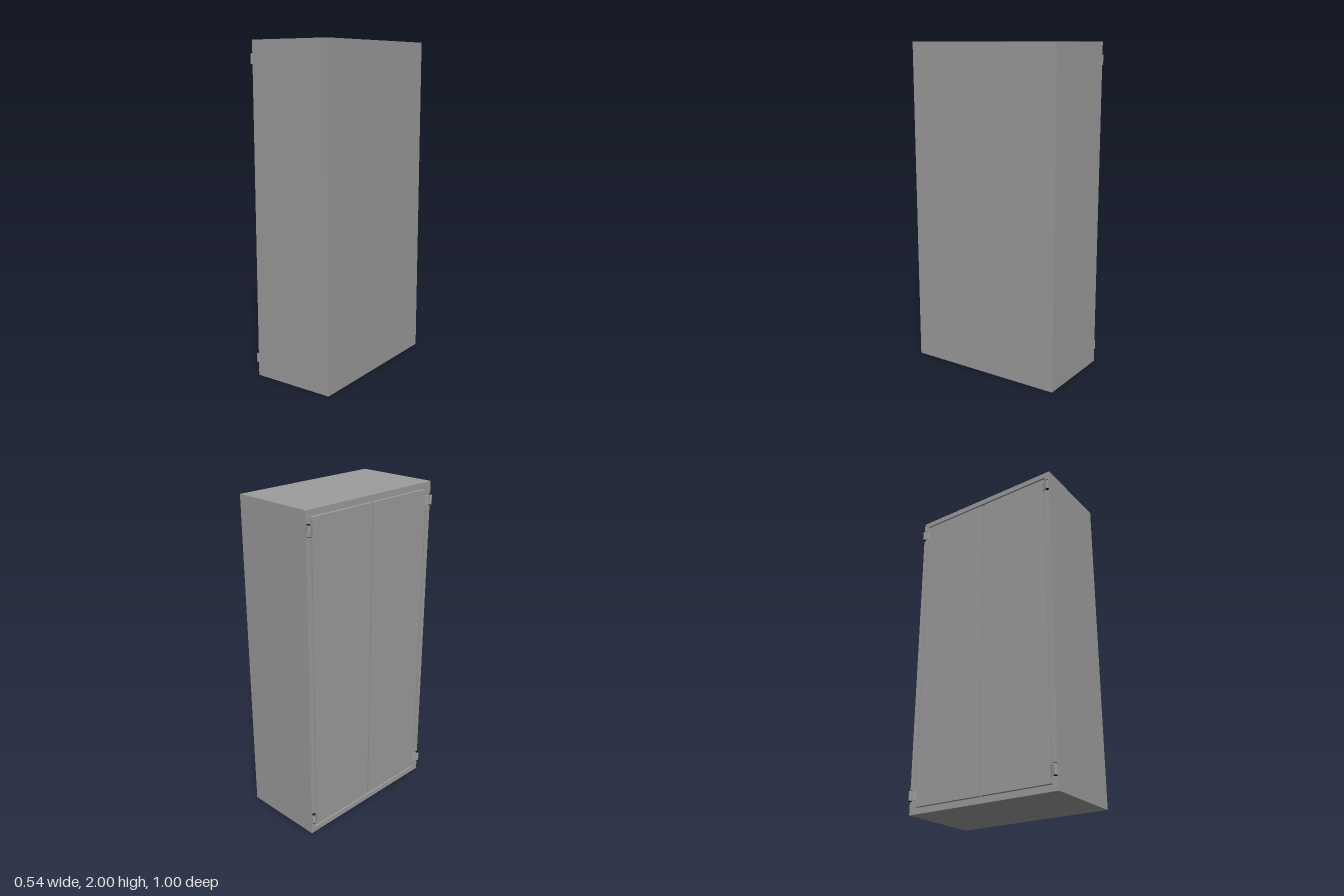
import * as THREE from 'three';

const material = new THREE.MeshStandardMaterial({ color: 0x9d9d9d, flatShading: true });
const smooth = new THREE.MeshStandardMaterial({ color: 0x9d9d9d });
const dark = new THREE.MeshStandardMaterial({ color: 0x111111 });

const FRONT = -0.253, BACK = 0.272;   // doors face -x
const WALL = 0.033, DOOR = 0.02, GAP = 0.01;

function add(parent, name, geometry, x = 0, y = 0, z = 0, mat = material) {
  const mesh = new THREE.Mesh(geometry, mat);
  mesh.name = name;
  mesh.position.set(x, y, z);
  parent.add(mesh);
}

function rectangle(Type, w, y0, y1) {
  return new Type([[-w, y0], [w, y0], [w, y1], [-w, y1]].map(p => new THREE.Vector2(...p)));
}

// Pin with dark end caps and a slanted leaf that meets the door
function makeHinge(side) {
  const hinge = new THREE.Group();
  hinge.name = 'hinge';
  const height = 0.066, cap = 0.003;
  add(hinge, 'hingePin', new THREE.CylinderGeometry(0.01, 0.01, height - 2 * cap, 24), -0.263, 0, side * 0.49, smooth);
  for (const end of [-1, 1]) {
    add(hinge, 'pinCap', new THREE.CylinderGeometry(0.01, 0.01, cap, 24),
      -0.263, end * (height - cap) / 2, side * 0.49, dark);
  }

  const outline = [
    [-0.263, 0.484], [-0.26, 0.47], [FRONT, 0.453], [FRONT, 0.46], [-0.257, 0.472], [-0.259, 0.484],
  ].map(([x, z]) => new THREE.Vector2(x, -z * side));
  const leaf = new THREE.ExtrudeGeometry(new THREE.Shape(outline), { depth: height - 2 * cap, bevelEnabled: false });
  leaf.rotateX(-Math.PI / 2).translate(0, cap - height / 2, 0);
  add(hinge, 'hingeLeaf', leaf);
  return hinge;
}

export function createModel() {
  const cabinet = new THREE.Group();
  cabinet.name = 'cabinet';

  // Case: four walls in one piece, closed by a back panel
  const outline = rectangle(THREE.Shape, 0.5, 0, 2);
  outline.holes.push(rectangle(THREE.Path, 0.5 - WALL, WALL, 2 - WALL));
  const walls = new THREE.ExtrudeGeometry(outline, { depth: BACK - FRONT, bevelEnabled: false });
  walls.rotateY(Math.PI / 2);
  add(cabinet, 'caseWalls', walls, FRONT);
  add(cabinet, 'backPanel', new THREE.BoxGeometry(0.02, 2 - 2 * WALL, 1 - 2 * WALL), BACK - 0.01, 1, 0);

  // Pair of flush doors with a narrow gap all round, each hung on two hinges
  const width = 0.5 - WALL - 1.5 * GAP;
  for (const side of [-1, 1]) {
    add(cabinet, side < 0 ? 'rightDoor' : 'leftDoor',
      new THREE.BoxGeometry(DOOR, 2 - 2 * WALL - 2 * GAP, width),
      FRONT + DOOR / 2, 1, side * (GAP / 2 + width / 2));
    for (const y of [0.11, 1.895]) {
      const hinge = makeHinge(side);
      hinge.position.y = y;
      cabinet.add(hinge);
    }
  }
  return cabinet;
}
